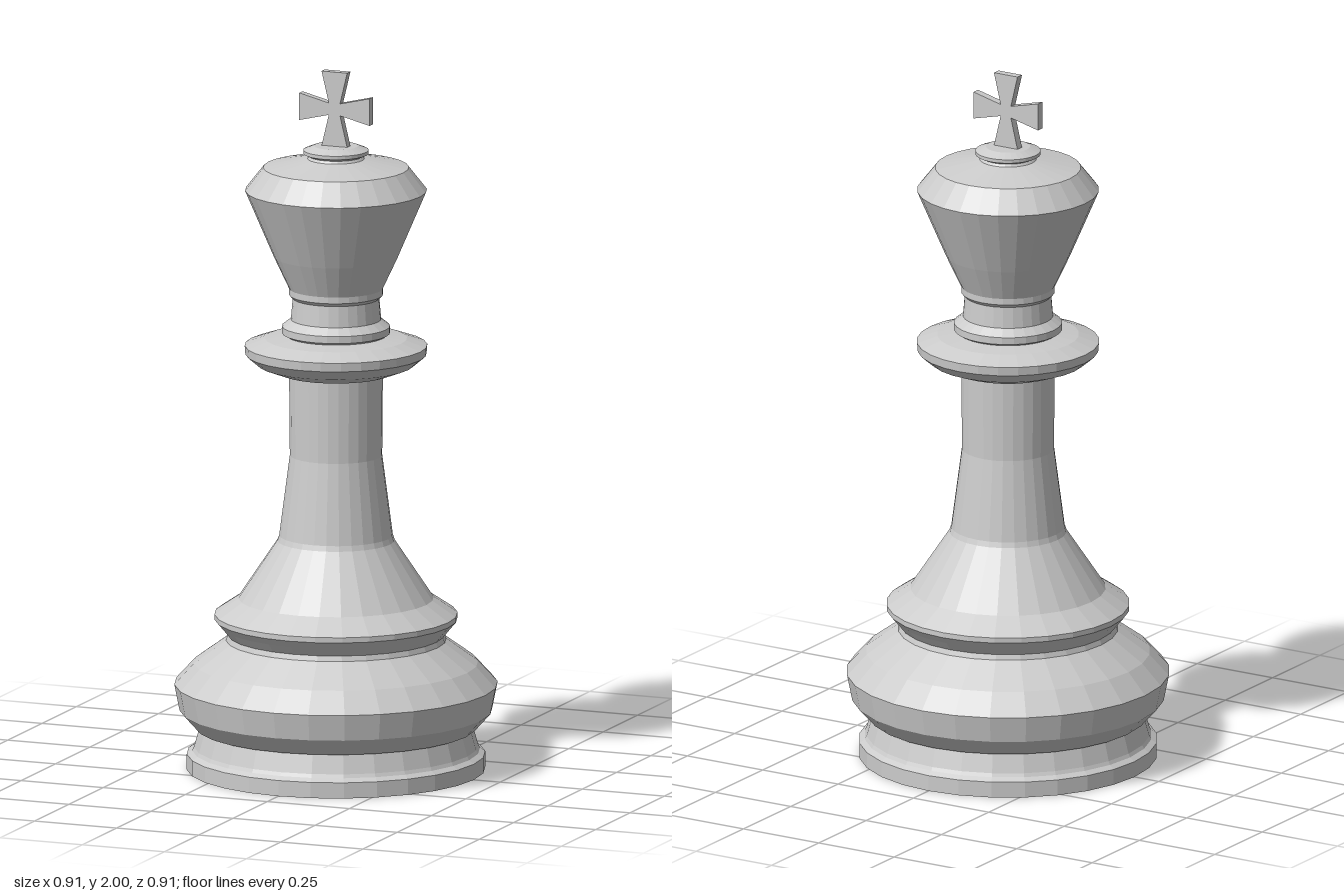
import * as THREE from 'three';

const SIDES = 28;

export function createModel() {
  const group = new THREE.Group();
  const material = new THREE.MeshStandardMaterial({ color: 0xcccccc, flatShading: true });

  const add = (name, geometry) => {
    const mesh = new THREE.Mesh(geometry, material);
    mesh.name = name;
    group.add(mesh);
    return mesh;
  };

  // Turned parts: [radius, height] pairs from bottom to top
  const turn = (name, profile) =>
    add(name, new THREE.LatheGeometry(profile.map(([r, y]) => new THREE.Vector2(r, y)), SIDES));

  turn('base', [
    [0, 0], [0.42, 0], [0.42, 0.045], [0.405, 0.055], [0.4, 0.065], [0.385, 0.118],
    [0.395, 0.12], [0.44, 0.17], [0.455, 0.245], [0.4, 0.305], [0.31, 0.37],
  ]);

  turn('stem', [
    [0.31, 0.37], [0.305, 0.385], [0.325, 0.41], [0.342, 0.43], [0.342, 0.445],
    [0.275, 0.49], [0.165, 0.655], [0.16, 0.67], [0.13, 0.9], [0.132, 1.135],
  ]);

  turn('collar', [
    [0.132, 1.135], [0.16, 1.137], [0.22, 1.16], [0.255, 1.19], [0.257, 1.215],
    [0.2, 1.235], [0.14, 1.243],
  ]);

  turn('neck', [
    [0.14, 1.243], [0.152, 1.25], [0.152, 1.27], [0.127, 1.29], [0.122, 1.35],
    [0.132, 1.36], [0.132, 1.378],
  ]);

  turn('head', [
    [0.132, 1.378], [0.175, 1.47], [0.256, 1.66], [0.205, 1.725], [0.08, 1.75],
  ]);

  turn('finial', [
    [0.08, 1.75], [0.075, 1.757], [0.092, 1.765], [0.092, 1.775], [0.062, 1.787], [0, 1.787],
  ]);

  // Cross with four flared arms
  const reach = 0.107, flare = 0.039, waist = 0.017, depth = 0.024;
  const points = [];
  for (let i = 0; i < 4; i++) {
    const a = (i * Math.PI) / 2;
    for (const [x, y] of [[waist, -waist], [reach, -flare], [reach, flare]]) {
      points.push(new THREE.Vector2(
        x * Math.cos(a) - y * Math.sin(a),
        x * Math.sin(a) + y * Math.cos(a),
      ));
    }
  }
  const cross = add('cross', new THREE.ExtrudeGeometry(new THREE.Shape(points), { depth, bevelEnabled: false }));
  cross.position.set(0, 2 - reach, -depth / 2);

  return group;
}
